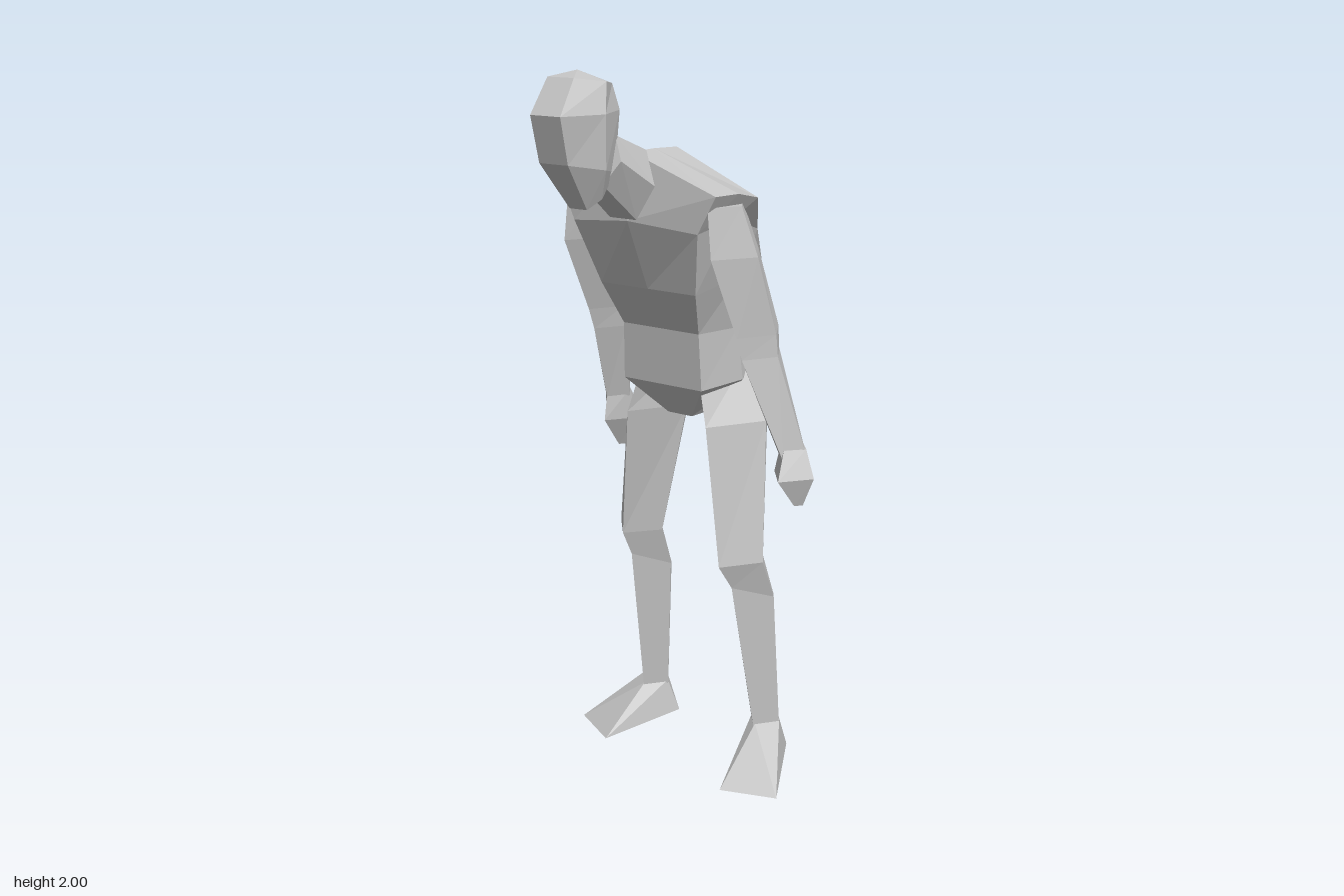
import * as THREE from 'three';
import { ConvexGeometry } from 'three/addons/geometries/ConvexGeometry.js';

const grey = new THREE.MeshStandardMaterial({ color: 0xc4c4c4 });
grey.name = 'plain grey';

// Flat-shaded skin over closed rings of points, listed from bottom to top; apex lifts the top cap
function loft(rings, apex) {
  const out = [];
  const tri = (a, b, c) => out.push(...a, ...b, ...c);
  const n = rings[0].length;
  const middle = (r) => [0, 1, 2].map((k) => r.reduce((s, p) => s + p[k], 0) / n);
  for (let i = 0; i < rings.length - 1; i++) {
    for (let j = 0; j < n; j++) {
      const k = (j + 1) % n;
      const [lo, hi] = [rings[i], rings[i + 1]];
      tri(lo[j], hi[j], lo[k]);
      tri(lo[k], hi[j], hi[k]);
    }
  }
  const first = rings[0], last = rings[rings.length - 1];
  const bottom = middle(first), top = apex || middle(last);
  for (let j = 0; j < n; j++) {
    const k = (j + 1) % n;
    tri(bottom, first[j], first[k]);
    tri(top, last[k], last[j]);
  }
  const geo = new THREE.BufferGeometry();
  geo.setAttribute('position', new THREE.Float32BufferAttribute(out, 3));
  geo.computeVertexNormals();
  return geo;
}

// Ring of a few sides; tilt raises its front edge and lowers its back edge
function oval([x, y, z, rx, rz, tilt = 0], sides) {
  return Array.from({ length: sides }, (_, i) => {
    const a = (i / sides) * Math.PI * 2;
    return [x + rx * Math.cos(a), y + tilt * Math.sin(a), z + rz * Math.sin(a)];
  });
}

// Eight-point body ring from front, side and back [half width, y, z, middle rise, middle push]
function bodyRing(cx, f, s, b) {
  const at = (side, p) => [cx + side * p[0], p[1], p[2]];
  const mid = (p) => [cx, p[1] + (p[3] || 0), p[2] + (p[4] || 0)];
  return [mid(f), at(-1, f), at(-1, s), at(-1, b), mid(b), at(1, b), at(1, s), at(1, f)];
}

export function createModel() {
  const model = new THREE.Group();
  model.name = 'stoopingFigure';
  const add = (name, geo) => {
    const mesh = new THREE.Mesh(geo, grey);
    mesh.name = name;
    model.add(mesh);
  };
  const tube = (name, sides, rows) => add(name, loft(rows.map((r) => oval(r, sides))));

  // Bent trunk, from crotch to shoulders, with the cap raised under the neck
  add('torso', loft([
    bodyRing(-0.035, [0.04, 1.04, -0.13], [0.09, 1.06, -0.2], [0.07, 1.06, -0.3]),
    bodyRing(-0.045, [0.13, 1.14, -0.06], [0.17, 1.15, -0.2], [0.11, 1.16, -0.385, 0, -0.025]),
    bodyRing(-0.04, [0.125, 1.3, -0.045], [0.16, 1.3, -0.18], [0.12, 1.28, -0.37, 0, -0.015]),
    bodyRing(-0.035, [0.155, 1.42, 0.02], [0.185, 1.45, -0.14], [0.13, 1.43, -0.34, 0, -0.01]),
    bodyRing(-0.04, [0.2, 1.59, 0.07, 0.02, 0.03], [0.235, 1.62, -0.04], [0.205, 1.57, -0.2, 0.04]),
    bodyRing(-0.035, [0.25, 1.69, 0.07, 0.095, 0.015], [0.265, 1.69, -0.01], [0.265, 1.67, -0.1, 0.11, -0.01]),
  ], [-0.035, 1.785, -0.01]));

  // Neck leaning forward into the head
  tube('neck', 6, [
    [-0.04, 1.705, 0.095, 0.085, 0.025, -0.1],
    [-0.04, 1.78, 0.22, 0.075, 0.03, -0.068],
  ]);
  add('head', loft([
    [-0.045, 1.69, 0.265, 0.055, 0.03, -0.03],
    [-0.05, 1.765, 0.285, 0.09, 0.105, 0.02],
    [-0.045, 1.9, 0.295, 0.093, 0.132],
    [-0.05, 1.975, 0.27, 0.082, 0.085, 0.012],
  ].map((r) => oval(r, 6)), [-0.05, 2, 0.28]));

  // Arms with elbow bend, and pointed fists
  tube('leftArm', 4, [
    [0.33, 0.98, -0.14, 0.045, 0.05],
    [0.247, 1.26, -0.1, 0.053, 0.09],
    [0.24, 1.32, -0.095, 0.057, 0.1],
    [0.205, 1.53, -0.035, 0.07, 0.11],
    [0.19, 1.66, -0.01, 0.05, 0.08],
  ]);
  tube('leftHand', 4, [
    [0.355, 0.855, -0.13, 0.015, 0.02],
    [0.34, 0.935, -0.13, 0.062, 0.08],
    [0.33, 1.01, -0.14, 0.04, 0.048],
  ]);
  tube('rightArm', 4, [
    [-0.31, 1.04, -0.2, 0.045, 0.05],
    [-0.29, 1.26, -0.15, 0.05, 0.08],
    [-0.288, 1.32, -0.135, 0.052, 0.09],
    [-0.28, 1.53, -0.045, 0.066, 0.11],
    [-0.26, 1.665, -0.01, 0.05, 0.08],
  ]);
  tube('rightHand', 4, [
    [-0.315, 0.88, -0.23, 0.015, 0.02],
    [-0.312, 0.97, -0.225, 0.06, 0.085],
    [-0.31, 1.06, -0.2, 0.045, 0.048],
  ]);

  // Legs: ankle, calf, knee, thigh, hip
  tube('leftLeg', 4, [
    [0.195, 0.1, -0.245, 0.047, 0.06],
    [0.165, 0.53, -0.21, 0.07, 0.11, 0.045],
    [0.155, 0.65, -0.155, 0.076, 0.105],
    [0.1, 1.04, -0.215, 0.095, 0.155],
    [0.045, 1.2, -0.24, 0.065, 0.145],
  ]);
  tube('rightLeg', 4, [
    [-0.225, 0.1, -0.27, 0.047, 0.058],
    [-0.22, 0.53, -0.245, 0.07, 0.1, 0.045],
    [-0.225, 0.65, -0.2, 0.076, 0.09],
    [-0.17, 1.04, -0.22, 0.095, 0.155],
    [-0.13, 1.2, -0.24, 0.065, 0.145],
  ]);

  // Wedge feet: outer toe, inner toe, inner heel, outer heel, then the ankle ring
  const foot = (name, sole, ankle) => add(name, new ConvexGeometry(
    [...sole, ...oval(ankle, 4)].map((p) => new THREE.Vector3(...p))));
  foot('leftFoot',
    [[0.355, 0, -0.055], [0.2, 0, 0], [0.13, 0.03, -0.26], [0.225, 0.02, -0.315]],
    [0.195, 0.13, -0.245, 0.046, 0.058]);
  foot('rightFoot',
    [[-0.4, 0, -0.13], [-0.25, 0, -0.05], [-0.15, 0.03, -0.29], [-0.235, 0.02, -0.365]],
    [-0.225, 0.13, -0.27, 0.046, 0.056]);

  return model;
}
